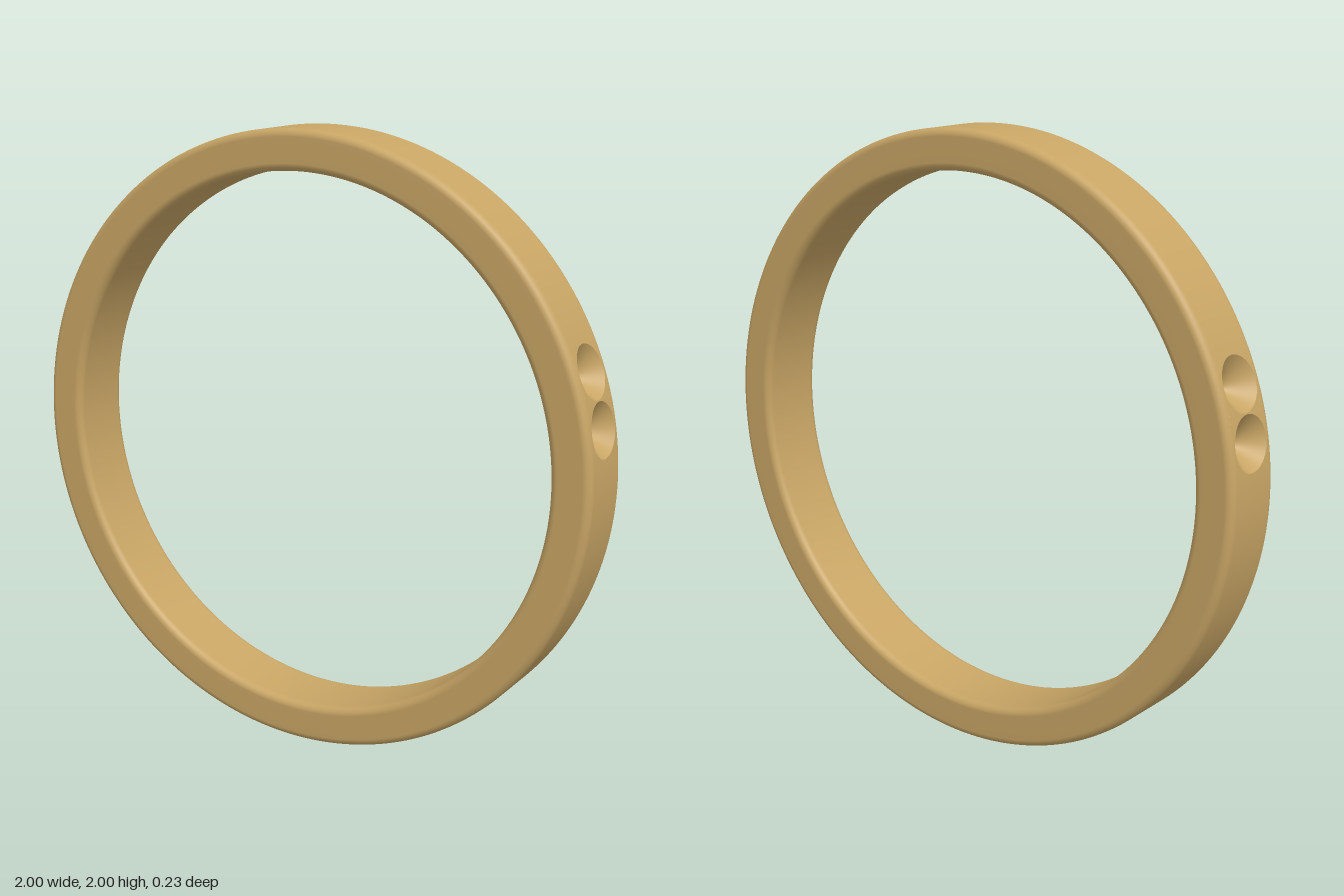
import * as THREE from 'three';
import { ParametricGeometry } from 'three/addons/geometries/ParametricGeometry.js';

const R = 1, INNER = 0.87, HALF = 0.115, FILLET = 0.025; // ring section
const FLAT = HALF - FILLET;                              // flat half width of the rim
const HOLE = 0.085, DEPTH = 0.085;                       // conical dimples
const rad = THREE.MathUtils.degToRad;

export function createModel() {
  const model = new THREE.Group();
  model.name = 'ring';
  model.position.y = 1;
  const material = new THREE.MeshStandardMaterial({ color: 0xc8a565 });

  function add(name, geometry) {
    const mesh = new THREE.Mesh(geometry, material);
    mesh.name = name;
    model.add(mesh);
    return mesh;
  }

  // Side faces, rounded edges and inner wall, open along the outer rim
  const profile = [];
  const corners = [
    [R - FILLET, FLAT, 0], [INNER + FILLET, FLAT, 90],
    [INNER + FILLET, -FLAT, 180], [R - FILLET, -FLAT, 270],
  ];
  for (const [x, y, start] of corners) {
    for (let i = 0; i <= 6; i++) {
      const a = rad(start + i * 15);
      profile.push(new THREE.Vector2(x + FILLET * Math.cos(a), y + FILLET * Math.sin(a)));
    }
  }
  add('ringBody', new THREE.LatheGeometry(profile, 360)).rotation.x = Math.PI / 2;

  // Plain stretches of the outer rim
  function rimBand(name, from, to) {
    add(name, new ParametricGeometry((u, v, p) => {
      const t = rad(from + (to - from) * u);
      p.set(R * Math.cos(t), R * Math.sin(t), FLAT * (2 * v - 1));
    }, to - from, 1));
  }
  rimBand('upperRim', 25, 155);
  rimBand('lowerRim', 175, 365);

  // Rim patch running from a round hole out to a rectangle
  const patch = new ParametricGeometry((u, v, p) => {
    const a = v * Math.PI * 2, c = Math.cos(a), s = Math.sin(a);
    const k = 1 / Math.max(Math.abs(c), Math.abs(s));
    const t = THREE.MathUtils.lerp(Math.asin(HOLE * c), rad(5) * k * c, u);
    const z = THREE.MathUtils.lerp(HOLE * s, FLAT * k * s, u);
    p.set(R * Math.cos(t), R * Math.sin(t), z);
  }, 4, 80);

  // Conical recess meeting the curved rim
  const cone = new ParametricGeometry((u, v, p) => {
    const a = v * Math.PI * 2, w = Math.max(u, 0.001);
    const y = HOLE * Math.cos(a);
    p.set(THREE.MathUtils.lerp(R - DEPTH, Math.sqrt(R * R - y * y), w), y * w, HOLE * w * Math.sin(a));
  }, 10, 80);

  // Two dimples on each side
  for (const angle of [10, 20, 160, 170]) {
    const side = angle < 90 ? 'left' : 'right';
    add(side + 'RimPatch', patch).rotation.z = rad(angle);
    add(side + 'Dimple', cone).rotation.z = rad(angle);
  }
  return model;
}
